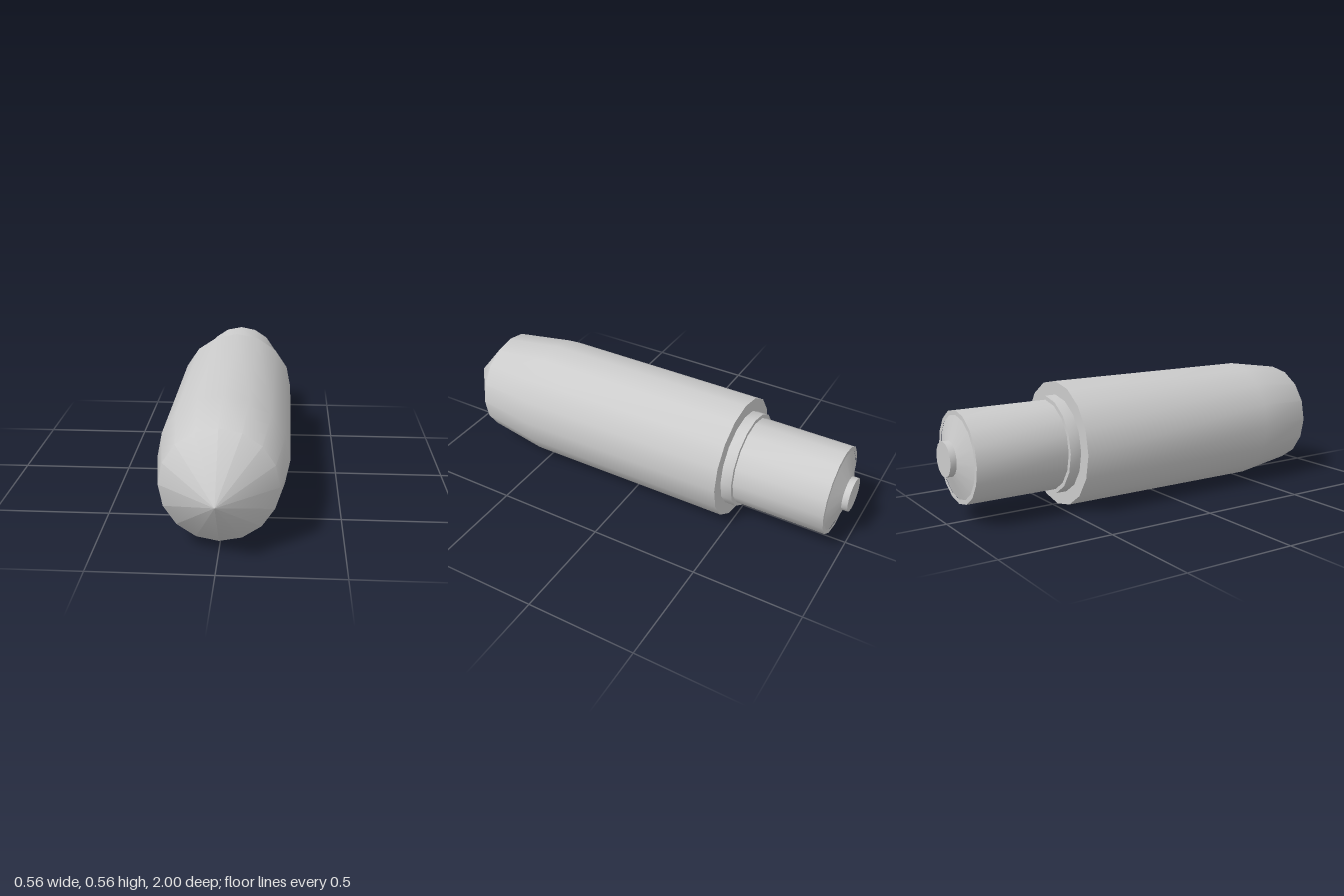
import * as THREE from 'three';
import { toCreasedNormals } from 'three/addons/utils/BufferGeometryUtils.js';

const SIDES = 16;
const AXIS_Y = 0.278;

export function createModel() {
  const model = new THREE.Group();
  const material = new THREE.MeshStandardMaterial({ color: 0xcccccc });

  // Turns a [radius, z] profile, listed from back to front, around the long axis
  function turned(name, profile, crease = 0.78) {
    const points = profile.map(([r, z]) => new THREE.Vector2(r, z));
    const geometry = new THREE.LatheGeometry(points, SIDES).rotateX(Math.PI / 2);
    const mesh = new THREE.Mesh(toCreasedNormals(geometry, crease), material);
    mesh.name = name;
    mesh.position.y = AXIS_Y;
    model.add(mesh);
  }

  // Main body with its slightly tapered shoulder and pointed nose
  turned('bodyAndNose', [
    [0.2, -0.475], [0.278, -0.475], [0.278, 0.52], [0.238, 0.8], [0, 1],
  ]);

  // Stepped collar behind the body
  turned('collar', [[0.19, -0.525], [0.218, -0.525], [0.218, -0.47]]);

  // Narrow rear shaft and its flat rim
  turned('rearShaft', [[0.18, -0.94], [0.2, -0.94], [0.2, -0.52]]);

  // Shallow cone closing the shaft
  turned('rearCone', [[0.07, -0.975], [0.182, -0.938]]);

  // Small button at the tail
  turned('tailButton', [[0, -1], [0.076, -1], [0.076, -0.97]]);

  return model;
}
